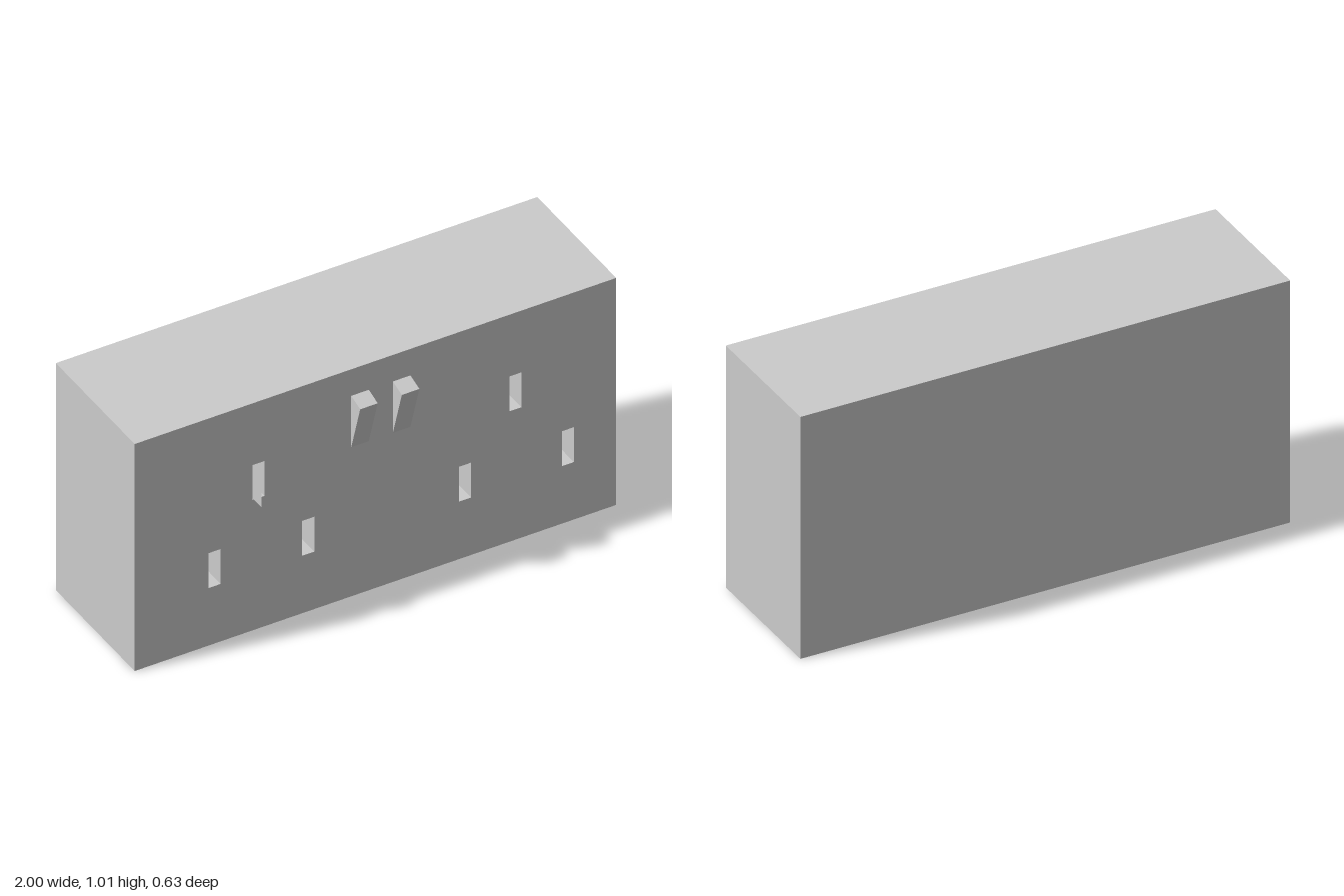
import * as THREE from 'three';

const W = 2, H = 1.015, FRONT = 0.25, BACK = -0.315;
const SLOT_W = 0.05, SLOT_H = 0.156, SLOT_D = 0.15;

// slot centres [x, y]: earth slot above two pin slots, for each socket
const SLOTS = [
  [-0.485, 0.661], [-0.668, 0.335], [-0.279, 0.335],
  [0.581, 0.661], [0.372, 0.335], [0.799, 0.335],
];

// box whose +z face is left out
function openBox(w, h, d) {
  const geo = new THREE.BoxGeometry(w, h, d);
  const idx = Array.from(geo.index.array);
  idx.splice(24, 6);
  geo.setIndex(idx);
  geo.clearGroups();
  return geo;
}

export function createModel() {
  const group = new THREE.Group();
  const solid = new THREE.MeshStandardMaterial({ color: 0xcccccc });
  const thin = new THREE.MeshStandardMaterial({ color: 0xcccccc, side: THREE.DoubleSide });

  const add = (name, geo, mat, x, y, z) => {
    const mesh = new THREE.Mesh(geo, mat);
    mesh.name = name;
    mesh.position.set(x, y, z);
    group.add(mesh);
    return mesh;
  };

  // housing: sides, top, bottom and back
  add('housing', openBox(W, H, FRONT - BACK), solid, 0, H / 2, (FRONT + BACK) / 2);

  // front plate pierced by the slots
  const plate = new THREE.Shape([
    new THREE.Vector2(-W / 2, 0), new THREE.Vector2(W / 2, 0),
    new THREE.Vector2(W / 2, H), new THREE.Vector2(-W / 2, H),
  ]);
  for (const [x, y] of SLOTS) {
    const a = SLOT_W / 2, b = SLOT_H / 2;
    plate.holes.push(new THREE.Path([
      new THREE.Vector2(x - a, y - b), new THREE.Vector2(x - a, y + b),
      new THREE.Vector2(x + a, y + b), new THREE.Vector2(x + a, y - b),
    ]));
  }
  add('frontPlate', new THREE.ShapeGeometry(plate), solid, 0, 0, FRONT);

  // recessed slot walls and floors
  SLOTS.forEach(([x, y], i) => {
    add('slot' + (i + 1), openBox(SLOT_W, SLOT_H, SLOT_D), thin, x, y, FRONT - SLOT_D / 2);
  });

  // thin tab standing out from the side of one earth slot
  const tab = new THREE.PlaneGeometry(0.062, 0.115).rotateY(Math.PI / 2);
  add('slotTab', tab, thin, SLOTS[0][0] - SLOT_W / 2, 0.648, FRONT + 0.031);

  // tilted rocker switches, hung from their top front edge
  for (const x of [-0.064, 0.109]) {
    const geo = new THREE.BoxGeometry(0.073, 0.3, 0.1).translate(0, -0.15, -0.05);
    add('rockerSwitch', geo, solid, x, 0.877, 0.314).rotation.x = 0.295;
  }

  return group;
}
